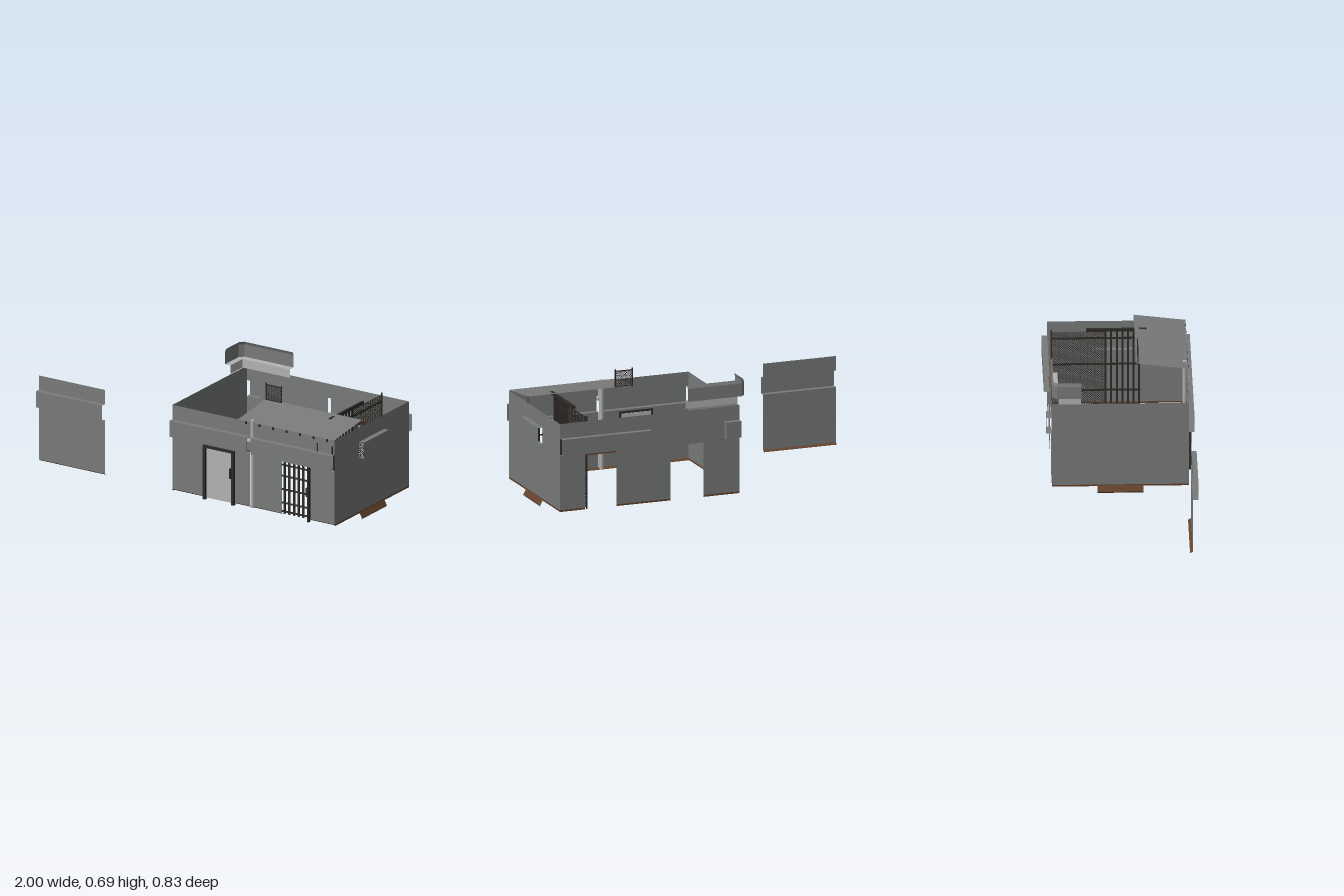
import * as THREE from 'three';
import { mergeGeometries } from 'three/addons/utils/BufferGeometryUtils.js';

const paint = (name, color) => {
  const m = new THREE.MeshStandardMaterial({ color, side: THREE.DoubleSide });
  m.name = name;
  return m;
};

export function createModel() {
  const model = new THREE.Group();
  const concrete = paint('concrete grey', 0x787b7a);
  const light = paint('light grey', 0xb3b3b3);
  const brown = paint('rust brown', 0x65432c);
  const iron = paint('dark iron', 0x2e2a27);

  const add = (name, geo, mat, parent = model) => {
    const m = new THREE.Mesh(geo, mat);
    m.name = name;
    parent.add(m);
    return m;
  };
  // Box given by its extents
  const boxGeo = (x0, x1, y0, y1, z0, z1) =>
    new THREE.BoxGeometry(x1 - x0, y1 - y0, z1 - z0)
      .translate((x0 + x1) / 2, (y0 + y1) / 2, (z0 + z1) / 2);

  // Flat-faced sheet between rails of points, ordered from bottom to top
  const loft = (rails) => {
    const p = [];
    for (let i = 0; i < rails.length - 1; i++) {
      for (let j = 0; j < rails[i].length - 1; j++) {
        const a = rails[i][j], b = rails[i][j + 1], c = rails[i + 1][j + 1], d = rails[i + 1][j];
        p.push(...a, ...b, ...c, ...a, ...c, ...d);
      }
    }
    const g = new THREE.BufferGeometry();
    g.setAttribute('position', new THREE.Float32BufferAttribute(p, 3));
    g.computeVertexNormals();
    return g;
  };
  // Profile of [distance outward, height] run from a to b along one side
  const strip = (profile, a, b, turn = 0) =>
    loft(profile.map(([o, y]) => [[a, y, o], [b, y, o]])).rotateY(turn);

  const W = 0.383, BAND = 0.415, TOP = 0.55;
  const banded = [[W, 0.37], [BAND, 0.37], [BAND, 0.465], [W, 0.465], [W, TOP]];
  const skirt = [[0.367, 0.04], [W, 0.05]];
  const low = (y0 = 0.05) => [[W, y0], [W, 0.37]];

  // Front wall: two bays with a column joint between
  add('frontWall', mergeGeometries([
    strip(low(), -0.11, 0.105), strip(low(0.36), 0.105, 0.305), strip(low(), 0.305, 0.405),
    strip(low(), 0.43, 0.62), strip(low(0.36), 0.62, 0.805), strip(low(), 0.805, 0.97),
    strip(banded, -0.11, 0.405), strip(banded, 0.43, 0.97),
  ]), concrete);
  add('frontSkirting', mergeGeometries([
    strip(skirt, -0.11, 0.105), strip(skirt, 0.305, 0.62), strip(skirt, 0.805, 0.97),
  ]), brown);

  // Detached wall panel
  add('loosePanel', strip([[W, 0.05], ...banded], -1, -0.56), concrete);
  add('loosePanelSkirting', strip(skirt, -1, -0.56), brown);

  // Back wall, measured in the turned frame where x runs the other way
  const B = Math.PI, flat = [[W, 0.37], [W, TOP]];
  add('backWall', mergeGeometries([
    strip(low(), -0.105, 0.11, B), strip(low(0.355), -0.305, -0.105, B),
    strip(low(), -0.63, -0.305, B), strip(low(0.36), -0.82, -0.63, B),
    strip(low(), -0.97, -0.82, B), strip(banded, -0.97, -0.43, B),
    strip(flat, -0.43, 0.02, B), strip(banded, 0.02, 0.11, B),
  ]), concrete);
  add('backSkirting', mergeGeometries([
    strip([[W, 0.04], [W, 0.05]], -0.105, 0.11, B),
    strip([[W, 0.04], [W, 0.05]], -0.63, -0.305, B),
    strip([[W, 0.04], [W, 0.05]], -0.97, -0.82, B),
  ]), brown);
  add('backLintel', boxGeo(0.43, 0.83, 0.352, 0.375, -0.382, -0.366), brown);

  // Left wall with its bent window hood, and plain right wall
  const L = Math.PI / 2, h = 0.128;
  const side = (o, y0, y1) => [[o, y0], [o, y1]];
  add('leftWall', mergeGeometries([
    strip(side(0.97, 0.05, 0.37), -W, W, L), strip(side(0.97, 0.465, TOP), -W, W, L),
    strip(side(0.97, 0.37, 0.465), -W, -h, L), strip(side(0.97, 0.37, 0.465), h, W, L),
  ]), concrete);
  add('windowHood', strip([[0.97, 0.37], [1, 0.37], [1, 0.465], [0.97, 0.465]], -h, h, L), concrete);
  add('rightWall', strip(side(0.11, 0.05, TOP), -W, W, -L), concrete);
  for (const [o, turn] of [[0.97, L], [0.11, -L]]) {
    add('sideSkirting', strip(side(o, 0.04, 0.05), -W, W, turn), brown);
    add('sideSill', strip([[o + 0.004, 0], [o + 0.018, 0.012], [o, 0.045]], -h, h, turn), brown);
  }

  // Corner parapet: light base and ledge, grey band with a cut corner
  const rail = (y, pts) => pts.map(([x, z]) => [x, y, z]);
  const inner = [[0.2, -0.345], [-0.115, -0.345], [-0.115, -0.345], [-0.115, -0.22]];
  const outer = [[0.2, -0.383], [-0.125, -0.383], [-0.15, -0.357], [-0.15, -0.22]];
  const lip = [[0.2, -0.375], [-0.121, -0.375], [-0.143, -0.353], [-0.143, -0.22]];
  add('parapetBase', loft([rail(TOP, inner), rail(0.6, inner), rail(0.601, outer)]), light);
  add('parapetBand', loft([rail(0.6, outer), rail(0.675, outer), rail(0.693, lip)]), concrete);

  // Sloping roof sheet with small iron brackets along its eave
  add('roofSheet', loft([
    [[0.33, 0.552, 0.39], [0.97, 0.552, 0.39]], [[0.33, 0.587, 0.1], [0.97, 0.587, 0.1]],
  ]), concrete);
  for (let i = 0; i < 7; i++) {
    const x = 0.38 + i * 0.09;
    add('eaveBracket', boxGeo(x, x + 0.006, 0.535, 0.55, 0.384, 0.392), iron);
  }

  // Column at the joint and pipe end inside the front band
  add('column', new THREE.CylinderGeometry(0.0125, 0.0125, 0.52, 6).translate(0.4175, 0.3, 0.373), light);
  add('pipeStub', new THREE.CylinderGeometry(0.012, 0.012, 0.03, 6)
    .rotateZ(Math.PI / 2).translate(0.4175, 0.445, 0.4), light);

  // Front door
  const door = new THREE.Group();
  door.name = 'door';
  model.add(door);
  add('doorLeaf', boxGeo(0.118, 0.293, 0.045, 0.348, 0.376, 0.386), light, door);
  add('doorFrame', mergeGeometries([
    boxGeo(0.103, 0.118, 0.037, 0.36, 0.38, 0.402),
    boxGeo(0.293, 0.307, 0.037, 0.36, 0.38, 0.402),
    boxGeo(0.103, 0.307, 0.345, 0.36, 0.38, 0.402),
  ]), iron, door);
  add('doorHandle', boxGeo(0.276, 0.283, 0.19, 0.25, 0.386, 0.398), iron, door);

  // Barred front gate
  const bars = [boxGeo(0.797, 0.809, 0.037, 0.36, 0.38, 0.402)];
  for (let i = 0; i < 6; i++) {
    const x = 0.632 + i * 0.031;
    bars.push(boxGeo(x, x + 0.011, 0.05, 0.36, 0.378, 0.386));
  }
  for (const y of [0.06, 0.11, 0.19, 0.27, 0.335]) bars.push(boxGeo(0.62, 0.805, y, y + 0.008, 0.38, 0.388));
  bars.push(boxGeo(0.786, 0.797, 0.185, 0.235, 0.386, 0.398));
  add('frontGate', mergeGeometries(bars), iron);

  // Inner barred partition with top beam
  const cell = [boxGeo(0.793, 0.807, 0.567, 0.584, -0.17, 0.17), boxGeo(0.797, 0.805, 0.037, 0.575, -0.367, -0.359)];
  for (let i = 0; i < 7; i++) {
    const z = -0.065 + i * 0.031;
    cell.push(boxGeo(0.796, 0.804, 0.045, 0.57, z, z + 0.011));
  }
  for (const y of [0.06, 0.2, 0.36, 0.52]) cell.push(boxGeo(0.797, 0.803, y, y + 0.01, -0.36, 0.135));
  add('cellBars', mergeGeometries(cell), iron);

  // Diagonal wire mesh filling a w by h rectangle
  const wireMesh = (w, hgt, step) => {
    const out = [];
    for (let c = step - w; c < hgt; c += step) {
      const x0 = Math.max(0, -c), x1 = Math.min(w, hgt - c);
      if (x1 - x0 < 0.002) continue;
      const wire = new THREE.BoxGeometry((x1 - x0) * Math.SQRT2, 0.0018, 0.0018)
        .rotateZ(Math.PI / 4).translate((x0 + x1) / 2 - w / 2, (x0 + x1) / 2 + c, 0);
      out.push(wire, wire.clone().rotateY(Math.PI));
    }
    return mergeGeometries(out);
  };
  add('cellMesh', wireMesh(0.3, 0.525, 0.013).rotateY(L).translate(0.8, 0.04, -0.21), iron);

  // Small mesh screen standing on the roof
  add('roofScreenMesh', wireMesh(0.1, 0.09, 0.01).translate(0.388, 0.588, 0.11), iron);
  add('roofScreenFrame', mergeGeometries([
    boxGeo(0.335, 0.341, 0.58, 0.688, 0.108, 0.112),
    boxGeo(0.436, 0.442, 0.58, 0.688, 0.108, 0.112),
    boxGeo(0.335, 0.442, 0.674, 0.679, 0.108, 0.112),
    boxGeo(0.335, 0.442, 0.585, 0.59, 0.108, 0.112),
  ]), iron);

  // Thin fittings above the front band
  add('rustStrip', boxGeo(0.852, 0.858, 0.465, 0.513, W, 0.389), brown);
  add('ironStrip', boxGeo(0.953, 0.958, 0.465, 0.513, W, 0.389), iron);

  return model;
}
